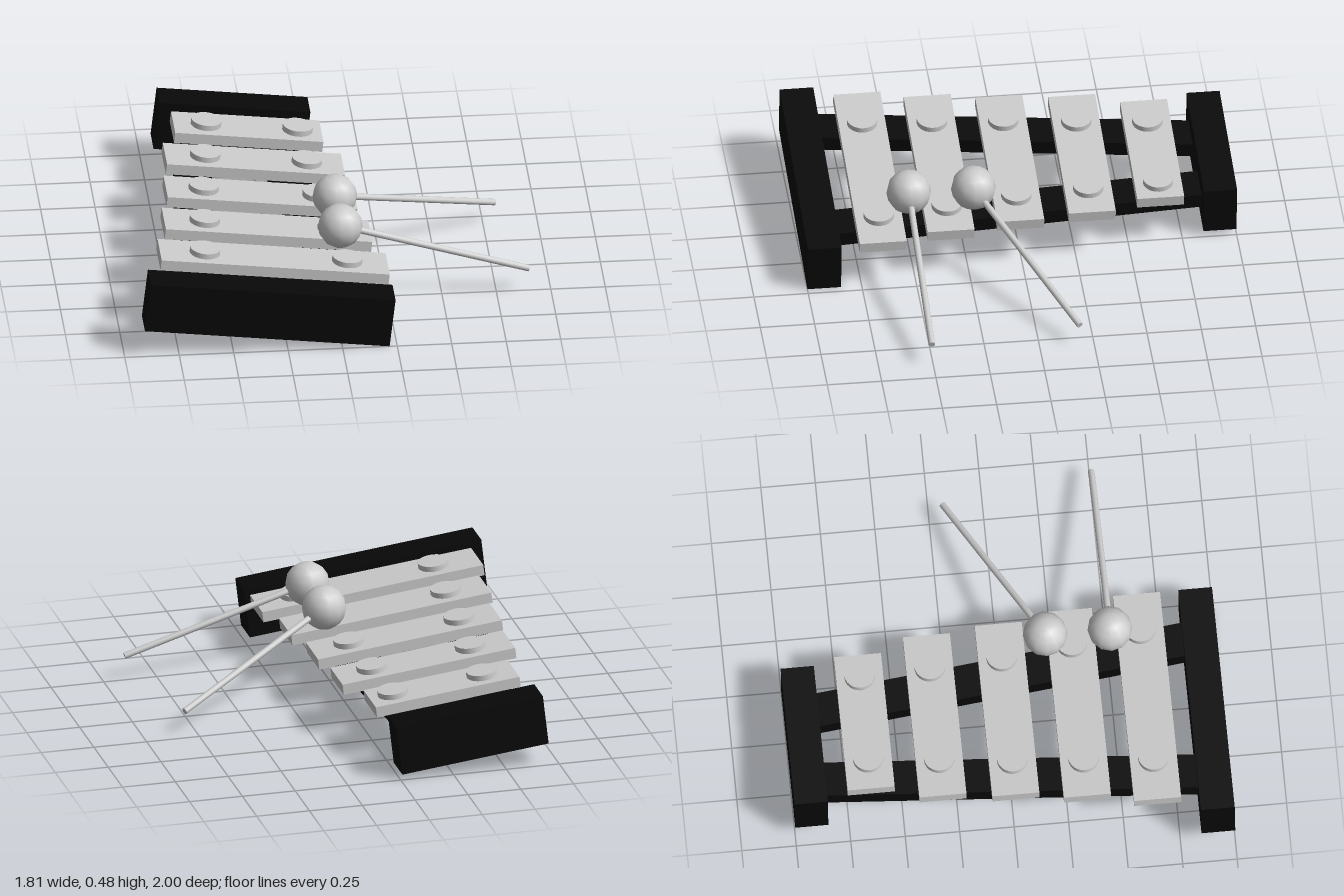
import * as THREE from 'three';

const TILT = 0.1157; // whole instrument leans down towards +x
const grey = new THREE.MeshStandardMaterial({ color: 0xcccccc });
const black = new THREE.MeshStandardMaterial({ color: 0x080808 });

function add(parent, name, geometry, material, x = 0, y = 0, z = 0) {
  const mesh = new THREE.Mesh(geometry, material);
  mesh.name = name;
  mesh.position.set(x, y, z);
  parent.add(mesh);
  return mesh;
}

// Box given by its limits on each axis
function slab(parent, name, material, [x0, x1], [y0, y1], [z0, z1]) {
  return add(parent, name, new THREE.BoxGeometry(x1 - x0, y1 - y0, z1 - z0), material,
    (x0 + x1) / 2, (y0 + y1) / 2, (z0 + z1) / 2);
}

// Rail sheared sideways and upwards along its length
function rail(parent, name, x, slopeX) {
  const geo = new THREE.BoxGeometry(0.17, 0.07, 1.74);
  const p = geo.attributes.position;
  for (let i = 0; i < p.count; i++) {
    const z = p.getZ(i);
    p.setX(i, p.getX(i) + slopeX * z);
    p.setY(i, p.getY(i) + 0.0325 * z);
  }
  geo.computeVertexNormals();
  add(parent, name, geo, black, x, 0.132, 0);
}

// Ball head with a thin stick running from its centre to the tip
function mallet(name, head, tip) {
  const group = new THREE.Group();
  group.name = name;
  add(group, 'malletHead', new THREE.SphereGeometry(0.103, 12, 8), grey, ...head.toArray());
  const dir = tip.clone().sub(head);
  const mid = head.clone().add(tip).multiplyScalar(0.5);
  const stick = add(group, 'malletStick', new THREE.CylinderGeometry(0.015, 0.015, dir.length(), 12), grey, ...mid.toArray());
  stick.quaternion.setFromUnitVectors(new THREE.Vector3(0, 1, 0), dir.normalize());
  return group;
}

export function createModel() {
  const model = new THREE.Group();
  model.name = 'xylophone';

  const body = new THREE.Group();
  body.name = 'instrument';
  body.position.x = 0.215;
  body.rotation.z = -TILT;
  model.add(body);

  // End blocks
  slab(body, 'frontBlock', black, [-1.13, 0], [0, 0.237], [0.845, 1]);
  slab(body, 'backBlock', black, [-0.921, -0.224], [0, 0.237], [-1, -0.848]);

  // Converging rails
  rail(body, 'rightRail', -0.832, -0.089);
  rail(body, 'leftRail', -0.316, 0.1);

  // Bars: left end, right end, middle z, two button positions
  const bars = [
    [-0.63, 0.05, -0.645, -0.48, -0.06],
    [-0.697, 0.12, -0.322, -0.513, -0.047],
    [-0.724, 0.146, 0.01, -0.55, -0.028],
    [-0.762, 0.185, 0.335, -0.575, 0.012],
    [-0.81, 0.236, 0.653, -0.603, 0.05],
  ];
  const local = (x) => (x - 0.242) / Math.cos(TILT);
  const buttonGeo = new THREE.CylinderGeometry(0.07, 0.07, 0.04, 24);
  bars.forEach(([x0, x1, z, b0, b1], i) => {
    const tone = new THREE.Group();
    tone.name = `toneBar${i + 1}`;
    body.add(tone);
    slab(tone, 'bar', grey, [local(x0), local(x1)], [0.195, 0.246], [z - 0.108, z + 0.108]);
    for (const b of [b0, b1]) add(tone, 'button', buttonGeo, grey, local(b), 0.252, z);
  });

  // Two mallets resting on the bars
  model.add(mallet('frontMallet', new THREE.Vector3(0.033, 0.378, 0.512), new THREE.Vector3(0.9, 0.116, 0.507)));
  model.add(mallet('rearMallet', new THREE.Vector3(0.035, 0.378, 0.215), new THREE.Vector3(0.803, 0.104, -0.185)));

  return model;
}
